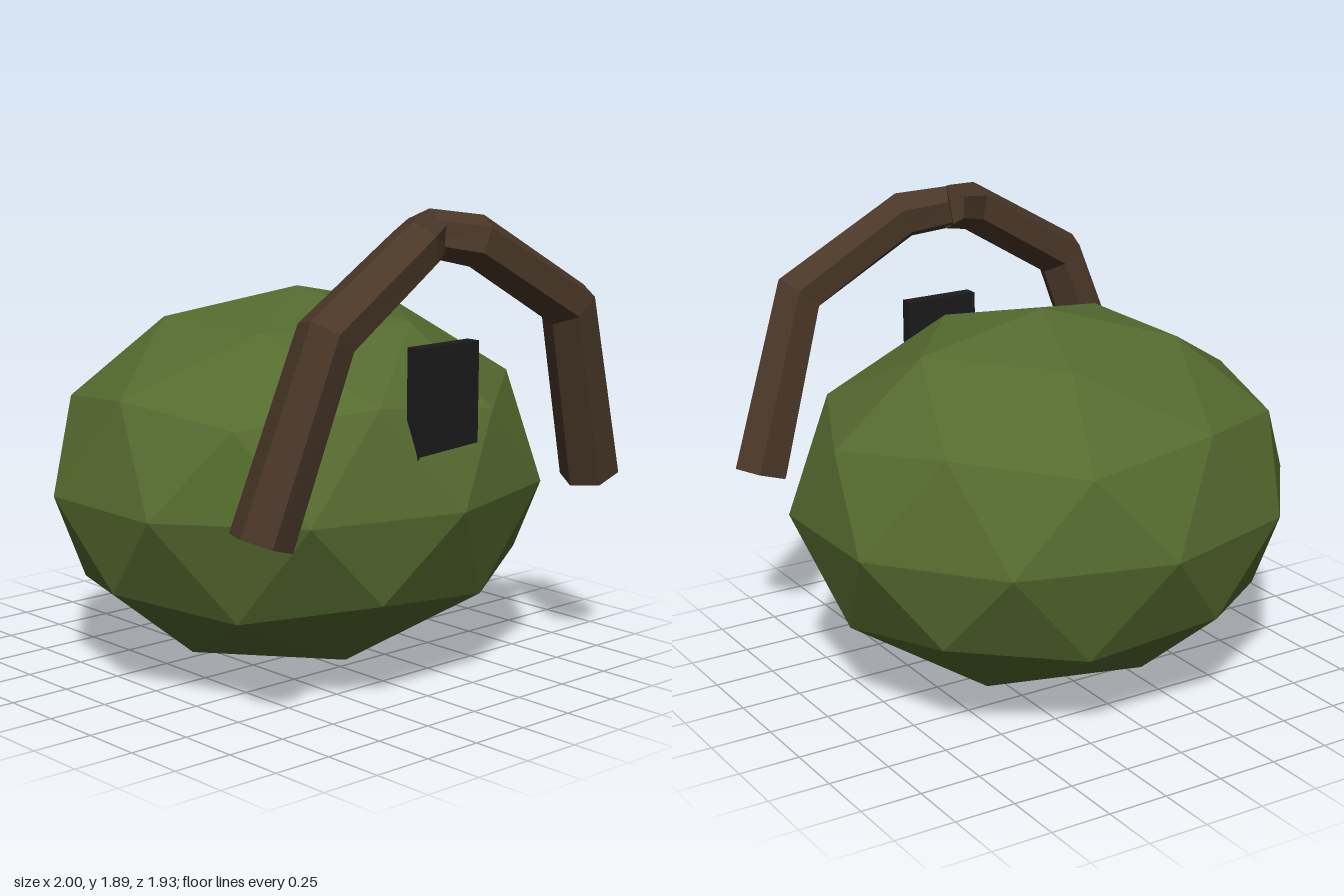
import * as THREE from 'three';

const green = new THREE.MeshStandardMaterial({ color: 0x556b2f, flatShading: true, name: 'leafGreen' });
const brown = new THREE.MeshStandardMaterial({ color: 0x4a3728, flatShading: true, name: 'woodBrown' });
const black = new THREE.MeshStandardMaterial({ color: 0x1b1b1b, flatShading: true, name: 'darkPanel' });

function add(group, name, geometry, material) {
  const mesh = new THREE.Mesh(geometry, material);
  mesh.name = name;
  group.add(mesh);
  return mesh;
}

// Squashed low-poly ball with a vertex at each pole
function bodyGeometry() {
  const g = new THREE.IcosahedronGeometry(1, 1);
  g.rotateZ(-Math.atan(2 / (1 + Math.sqrt(5))));
  g.scale(1.05, 0.765, 0.952);
  g.translate(0, 0.765, -0.0125);
  g.computeVertexNormals();
  return g;
}

// Centre line of one branch: x, y, z, radius
const BRANCH = [
  [0.88, 0.765, 0.785, 0.12],
  [0.64, 1.485, 0.86, 0.113],
  [0.16, 1.765, 0.82, 0.102],
  [-0.008, 1.8, 0.715, 0.09],
];

// Six-sided tapered branch swept along the centre line, with end caps
function branchGeometry(side, twist) {
  const SIDES = 6;
  const centres = BRANCH.map(([x, y, z]) => new THREE.Vector3(x * side, y, z));
  const dirs = centres.slice(1).map((p, i) => p.clone().sub(centres[i]).normalize());
  const rings = centres.map((c, k) => {
    const t = dirs[Math.max(k - 1, 0)].clone().add(dirs[Math.min(k, dirs.length - 1)]).normalize();
    const out = t.clone().cross(new THREE.Vector3(0, 0, 1)).normalize();
    const front = out.clone().cross(t).normalize();
    out.multiplyScalar(side);
    return Array.from({ length: SIDES }, (_, i) => {
      const a = (i / SIDES) * Math.PI * 2 + twist;
      return c.clone()
        .addScaledVector(out, Math.cos(a) * BRANCH[k][3])
        .addScaledVector(front, Math.sin(a) * BRANCH[k][3]);
    });
  });
  const pts = [];
  const tri = (a, b, c) => pts.push(...(side > 0 ? [a, b, c] : [a, c, b]));
  const last = rings.length - 1;
  for (let i = 0; i < SIDES; i++) {
    const j = (i + 1) % SIDES;
    for (let k = 0; k < last; k++) {
      tri(rings[k][i], rings[k + 1][i], rings[k + 1][j]);
      tri(rings[k][i], rings[k + 1][j], rings[k][j]);
    }
    tri(centres[0], rings[0][i], rings[0][j]);
    tri(centres[last], rings[last][j], rings[last][i]);
  }
  const g = new THREE.BufferGeometry().setFromPoints(pts);
  g.computeVertexNormals();
  return g;
}

export function createModel() {
  const model = new THREE.Group();
  model.name = 'archedBush';

  add(model, 'body', bodyGeometry(), green);

  // Dark panel sunk into the front of the body
  add(model, 'frontPanel', new THREE.BoxGeometry(0.32, 0.44, 0.06), black).position.set(0, 1.17, 0.812);

  // Two branches meeting at the top of the arch
  add(model, 'leftBranch', branchGeometry(1, 0), brown);
  add(model, 'rightBranch', branchGeometry(-1, 0.17), brown);

  return model;
}
